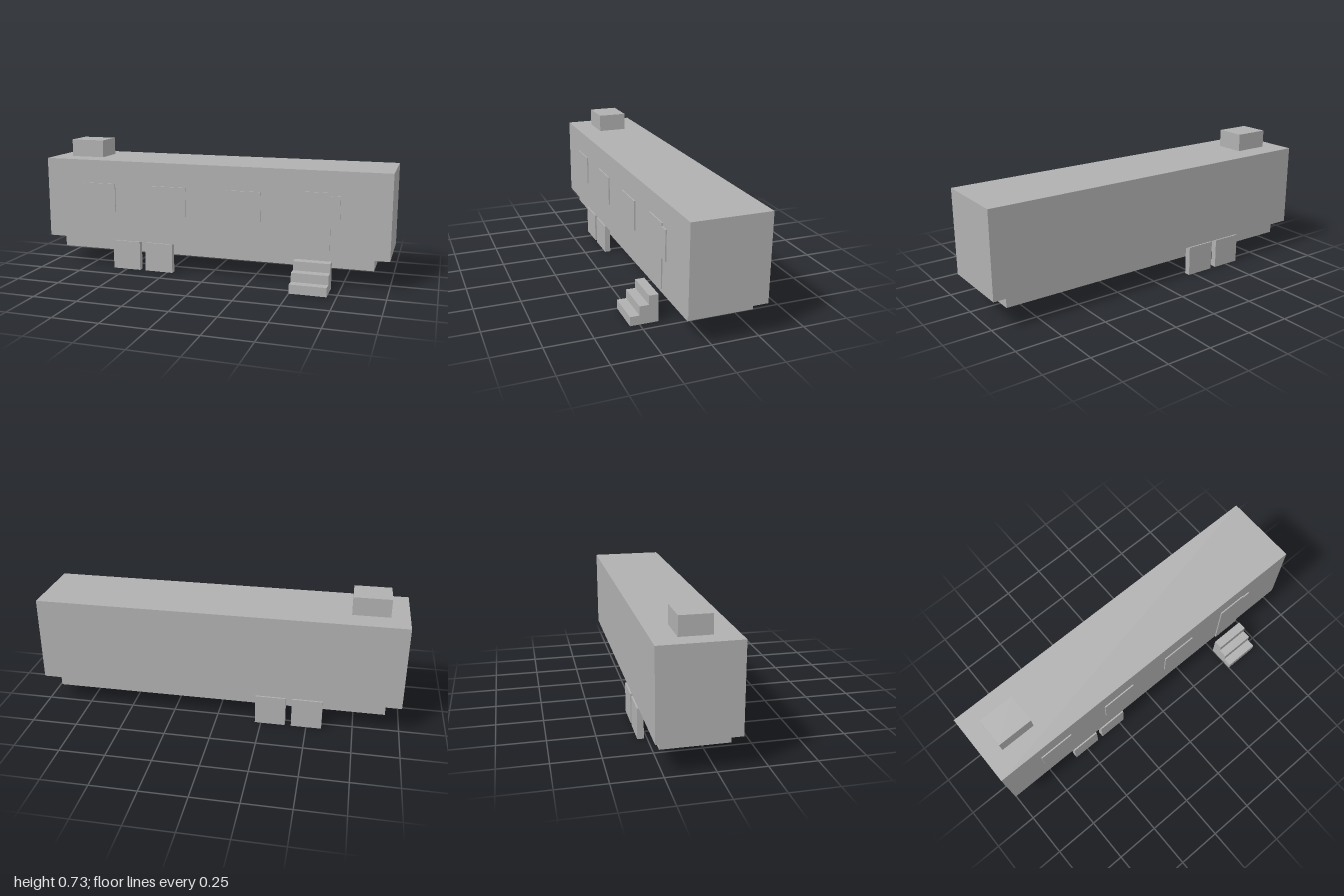
import * as THREE from 'three';

export function createModel() {
  const model = new THREE.Group();
  model.name = 'trailer';
  const grey = new THREE.MeshStandardMaterial({ color: 0xb0b0b0, side: THREE.DoubleSide });
  grey.name = 'plain grey';

  // Box given by its limits on each axis; open ones have no underside
  function box(name, [x0, x1], [y0, y1], [z0, z1], open = false, parent = model) {
    const geometry = new THREE.BoxGeometry(x1 - x0, y1 - y0, z1 - z0);
    if (open) {
      const index = Array.from(geometry.index.array);
      index.splice(18, 6);
      geometry.setIndex(index);
      geometry.clearGroups();
    }
    const mesh = new THREE.Mesh(geometry, grey);
    mesh.name = name;
    mesh.position.set((x0 + x1) / 2, (y0 + y1) / 2, (z0 + z1) / 2);
    parent.add(mesh);
    return mesh;
  }

  // Hollow body, underframe and roof unit
  box('body', [-1, 1], [0.167, 0.634], [-0.291, 0.125], true);
  box('underframe', [-0.917, 0.917], [0.1, 0.167], [-0.257, 0.091], true);
  box('roofUnit', [-0.9, -0.7], [0.634, 0.734], [-0.166, 0], true);

  // Door and windows as thin plates on the front wall
  const plate = [0.125, 0.132];
  box('door', [0.517, 0.683], [0.167, 0.517], plate);
  for (let i = 0; i < 4; i++) {
    const x = -0.667 + i * 0.4333;
    box('window', [x - 0.1, x + 0.1], [0.334, 0.5], plate);
  }

  // Two square wheels on each side
  for (const x of [-0.5, -0.3]) {
    for (const z of [[0.1, 0.133], [-0.3, -0.266]]) {
      box('wheel', [x - 0.083, x + 0.083].map((v) => v), [0, 0.167], z);
    }
  }

  // Three entrance steps
  const steps = new THREE.Group();
  steps.name = 'steps';
  model.add(steps);
  for (let i = 0; i < 3; i++) {
    box('step', [0.5, 0.7], [0, 0.15 - i * 0.05], [0.15 + i * 0.05, 0.2 + i * 0.05], true, steps);
  }
  return model;
}
